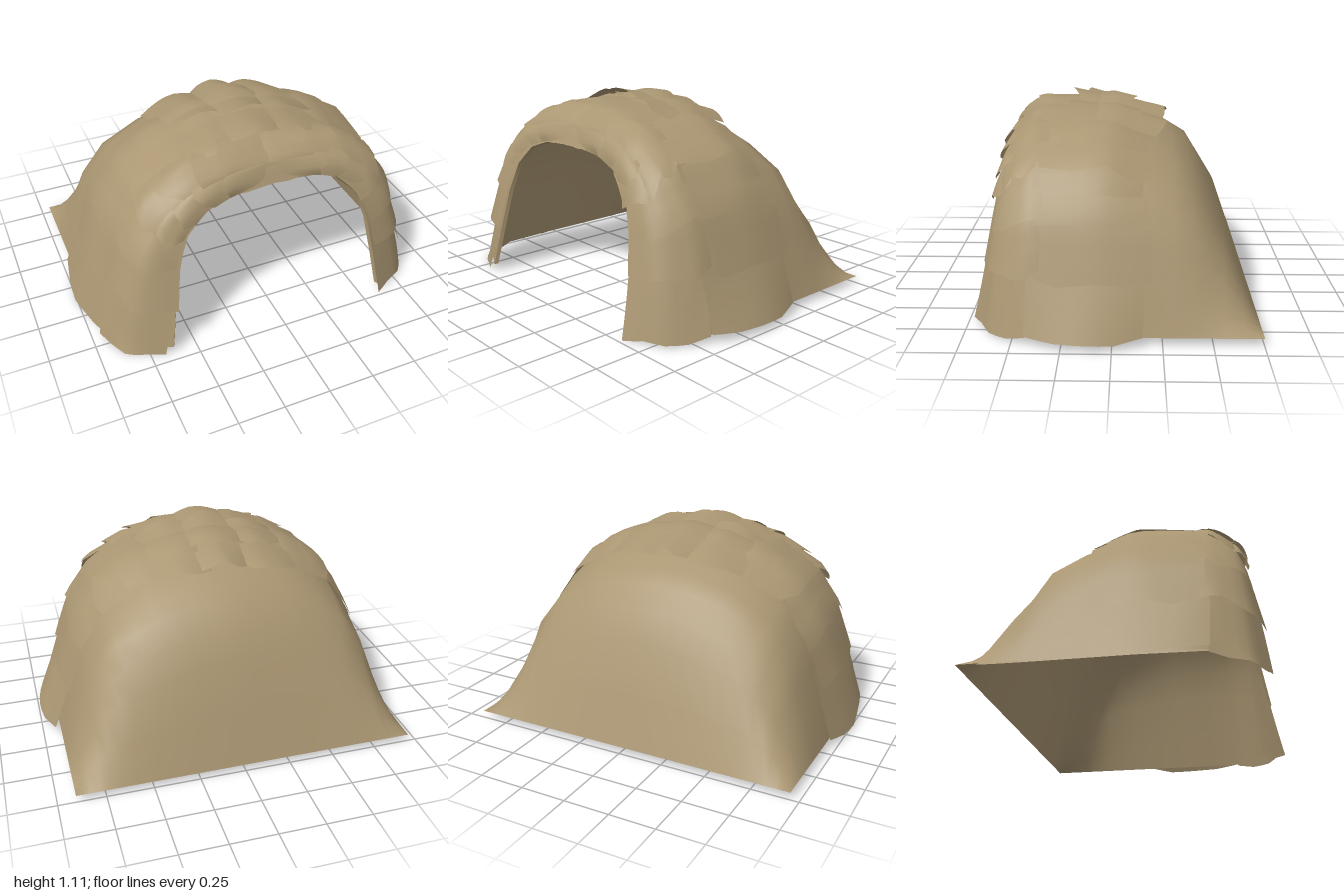
import * as THREE from 'three';

// Half arch from the ground up to the crown, as fractions of width and height
const ARCH = [[1, 0], [0.92, 0.27], [0.82, 0.57], [0.68, 0.78], [0.45, 0.92], [0.22, 0.98], [0, 1]];

// Arches from the doorway back: half width, height, z at crown, z at ground, fullness, centre x
const SECTIONS = [
  [0.62, 0.80, 0.56, 0.70, 0.66, -0.01],
  [0.81, 0.90, 0.52, 0.60, 0.85, -0.02],
  [0.92, 0.99, 0.39, 0.42, 1, -0.02],
  [0.93, 1.01, 0.02, 0.10, 1, -0.025],
  [0.93, 0.91, -0.22, -0.20, 1, -0.025],
  [0.93, 0.80, -0.40, -0.40, 1.05, -0.025],
  [0.93, 0.54, -0.56, -0.56, 1.25, -0.025],
  [0.93, 0.00, -0.75, -0.75, 1, -0.025],
];
const GROUND = 0.04;
const THICKNESS = 0.022;

let seed = 7;
const rand = () => {
  seed = (seed * 16807) % 2147483647;
  return seed / 2147483647;
};
const vary = (amount) => (rand() * 2 - 1) * amount;

// Linear interpolation (and extrapolation) in a list of rows
function rowAt(rows, t) {
  const i = Math.min(Math.max(Math.floor(t), 0), rows.length - 2);
  return rows[i].map((a, k) => a + (rows[i + 1][k] - a) * (t - i));
}

// Point on the shell: u = -1..1 across the arch (0 at the crown), v = section index
function shellPoint(u, v) {
  const [w, h, zTop, zBase, full, cx] = rowAt(SECTIONS, v);
  const [fx, fy] = rowAt(ARCH, (1 - Math.abs(u)) * 6);
  const x = cx + Math.sign(u) * w * Math.pow(Math.max(fx, 0), full);
  return new THREE.Vector3(x, GROUND + h * fy, zBase + (zTop - zBase) * fy);
}

function shellNormal(u, v) {
  const du = shellPoint(u + 0.06, v).sub(shellPoint(u - 0.06, v));
  const dv = shellPoint(u, v + 0.3).sub(shellPoint(u, v - 0.3));
  return du.cross(dv).normalize();
}

// Inner face of the shell, kept above the ground line
function liningPoint(u, v) {
  const p = shellPoint(u, v).addScaledVector(shellNormal(u, Math.min(v, 6.6)), -THICKNESS);
  p.y = Math.max(p.y, GROUND);
  return p;
}

// Grid surface from a rule
function gridGeometry(nu, nv, rule) {
  const pos = [], index = [];
  for (let j = 0; j <= nv; j++) {
    for (let i = 0; i <= nu; i++) {
      pos.push(...rule(i / nu, j / nv).toArray());
      if (i < nu && j < nv) {
        const a = j * (nu + 1) + i, c = a + nu + 1;
        index.push(a, a + 1, c, a + 1, c + 1, c);
      }
    }
  }
  const g = new THREE.BufferGeometry();
  g.setAttribute('position', new THREE.Float32BufferAttribute(pos, 3));
  g.setIndex(index);
  g.computeVertexNormals();
  return g;
}

export function createModel() {
  const model = new THREE.Group();
  const material = new THREE.MeshStandardMaterial({ color: 0xaa9672, side: THREE.DoubleSide });
  const add = (parent, name, geometry) => {
    const mesh = new THREE.Mesh(geometry, material);
    mesh.name = name;
    parent.add(mesh);
  };
  const group = (name) => {
    const g = new THREE.Group();
    g.name = name;
    model.add(g);
    return g;
  };

  // Vaulted shell sloping down to a straight rear edge, with lining and doorway rim
  add(model, 'shell', gridGeometry(24, 14, (s, t) => shellPoint(s * 2 - 1, t * 7)));
  add(model, 'lining', gridGeometry(24, 14, (s, t) => liningPoint(1 - s * 2, t * 7)));
  add(model, 'doorwayRim', gridGeometry(24, 1, (s, t) =>
    liningPoint(s * 2 - 1, 0).lerp(shellPoint(s * 2 - 1, 0), t)));

  // Leaf-like shingle on the shell: tucked in at its head and sides, lifted and
  // ragged at its tail. head and tail run along one parameter, side0 and side1 along the other.
  function shingle(parent, name, alongU, head, tail, side0, side1, lift, ragged) {
    const jag = Array.from({ length: 5 }, (_, i) => [vary(ragged) - (i % 4 ? 0 : ragged)]);
    const reach = Math.sign(tail - head);
    const skew = [vary(0.08), vary(0.08)];
    const geometry = gridGeometry(8, 5, (s, t) => {
      const along = head + (tail - head) * t + reach * rowAt(jag, s * 4)[0] * t;
      const across = side0 + (side1 - side0) * (s + t * (skew[0] * (1 - s) + skew[1] * s));
      const [u, v] = alongU ? [along, across] : [across, along];
      const bulge = 0.25 + 0.75 * Math.sin(Math.PI * s);
      const p = shellPoint(u, v).addScaledVector(shellNormal(u, v), 0.012 + (lift - 0.012) * t * bulge);
      p.y = Math.max(p.y, 0);
      return p;
    });
    add(parent, name, geometry);
  }

  // Wide shingles stacked down both flanks
  const flanks = group('sideThatch');
  for (const side of [-1, 1]) {
    [1.02, 0.84, 0.7, 0.61, 0.52, 0.43].forEach((tail, i) => {
      const head = tail - (i < 2 ? 0.26 : 0.2);
      const lift = i ? 0.04 : 0.065 + side * 0.02;
      shingle(flanks, 'sideShingle', true, side * head, side * tail,
        1.95 + vary(0.08), 3.85 + vary(0.06), lift, 0.018);
    });
  }

  // Shingles wrapping the doorway arch: single ones on the legs, pairs higher up
  const doorway = group('doorwayThatch');
  for (const side of [-1, 1]) {
    [1.04, 0.83, 0.7, 0.57, 0.45, 0.33, 0.21].forEach((tail, i) => {
      const head = tail - (i < 2 ? 0.27 : 0.22);
      if (i < 3) {
        shingle(doorway, 'legShingle', true, side * head, side * tail,
          0.02 + vary(0.03), 2.1 + vary(0.06), i ? 0.045 : 0.02, 0.02);
        return;
      }
      shingle(doorway, 'innerShingle', true, side * head, side * tail,
        0.02 + vary(0.05), 1.2 + vary(0.12), 0.05, 0.025);
      shingle(doorway, 'outerShingle', true, side * (head - 0.03), side * (tail - 0.03),
        0.85 + vary(0.12), 2.12 + vary(0.1), 0.05, 0.03);
    });
  }
  for (const u of [-0.12, 0.03]) {
    shingle(doorway, 'crownShingle', false, 1.9, 0.02, u - 0.13, u + 0.16, 0.02, 0.08);
  }

  // Overlapping patches on the crown, some facing the rear and some the front
  const crown = group('roofThatch');
  const rows = [
    [2.9, 4.1, 0.08],
    [2.4, 3.45, 0.07],
    [3.1, 2.5, 0.075],
    [2.8, 1.8, 0.055],
  ];
  for (const [head, tail, lift] of rows) {
    for (const u of [-0.19, 0, 0.18]) {
      shingle(crown, 'roofShingle', false, head + vary(0.1), tail + vary(0.1),
        u - 0.13, u + 0.12, lift - Math.abs(u) * 0.1, 0.1);
    }
  }

  return model;
}
